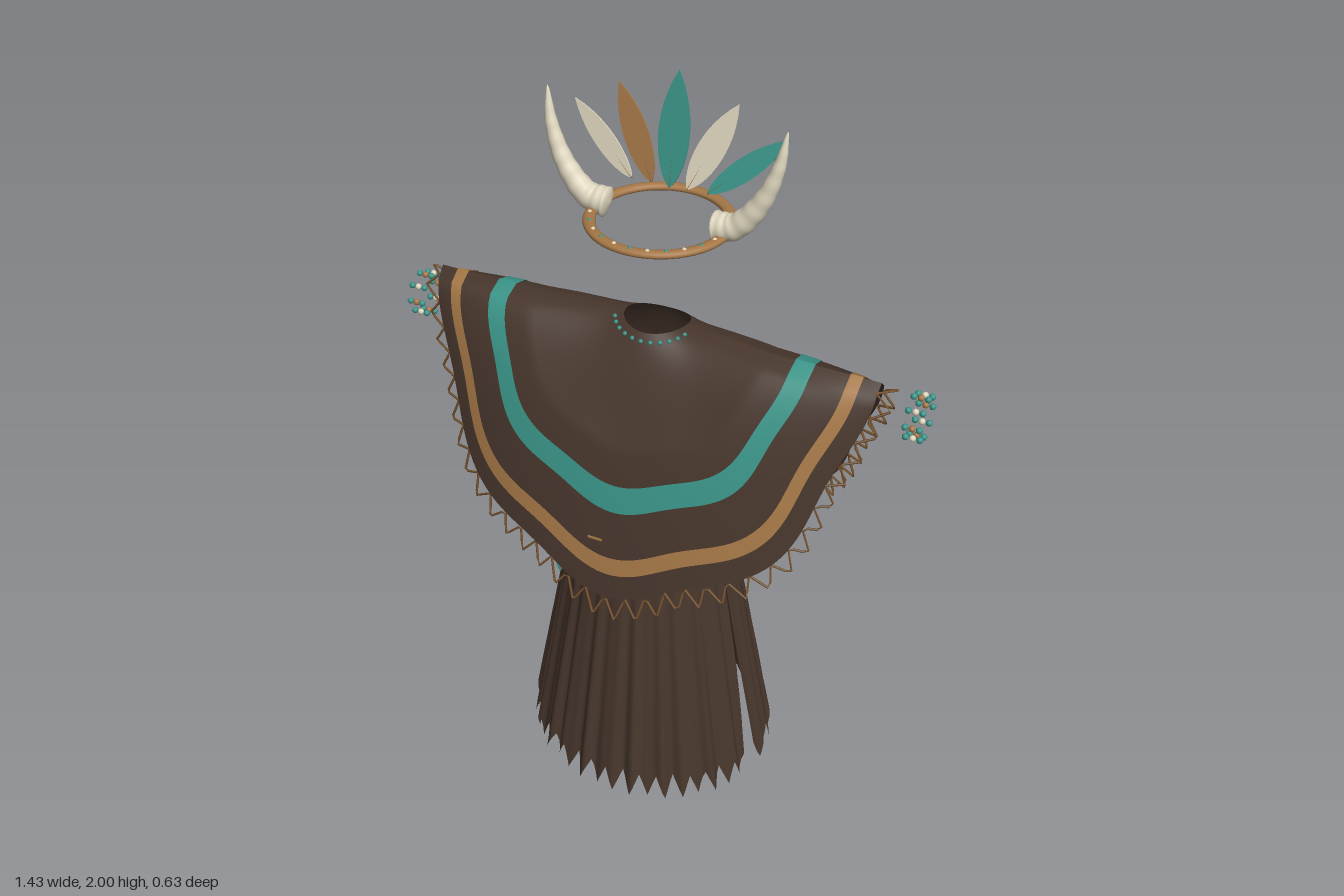
import * as THREE from 'three';

const flat = (name, color, side = THREE.FrontSide) =>
  Object.assign(new THREE.MeshStandardMaterial({ color, side }), { name });
const hide = flat('dark hide', 0x47362c, THREE.DoubleSide);
const teal = flat('teal', 0x3a9488, THREE.DoubleSide);
const tan = flat('tan', 0xa67847, THREE.DoubleSide);
const cord = flat('brown cord', 0x805a34);
const cream = flat('bone cream', 0xddd5bd, THREE.DoubleSide);

const V = (x, y, z) => new THREE.Vector3(x, y, z);

function add(parent, name, geo, mat, pos) {
  const m = new THREE.Mesh(geo, mat);
  m.name = name;
  if (pos) m.position.copy(pos);
  parent.add(m);
  return m;
}

// Surface from a point rule f(u, v), both running 0..1
function sheet(f, nu, nv) {
  const pos = [], idx = [];
  for (let j = 0; j <= nv; j++) {
    for (let i = 0; i <= nu; i++) pos.push(...f(i / nu, j / nv).toArray());
  }
  for (let j = 0; j < nv; j++) {
    for (let i = 0; i < nu; i++) {
      const a = j * (nu + 1) + i, b = a + nu + 1;
      idx.push(a, a + 1, b, b, a + 1, b + 1);
    }
  }
  const g = new THREE.BufferGeometry();
  g.setAttribute('position', new THREE.Float32BufferAttribute(pos, 3));
  g.setIndex(idx);
  g.computeVertexNormals();
  return g;
}

// Thin cord through points with sharp corners
function wire(points, r, closed = false) {
  const path = new THREE.CurvePath();
  for (let i = 0; i + 1 < points.length; i++) path.add(new THREE.LineCurve3(points[i], points[i + 1]));
  if (closed) path.add(new THREE.LineCurve3(points[points.length - 1], points[0]));
  return new THREE.TubeGeometry(path, points.length * 4, r, 4, false);
}

// Draped cloth: a is the angle round the neck, t runs from neck (0.14) to hem (1),
// lift raises the point off the outer face
function drape(a, t, lift = 0) {
  const c = Math.cos(a), sn = Math.sin(a), s = Math.abs(sn), u = Math.max(0, (t - 0.14) / 0.86);
  const rip = 1 - 0.028 * Math.min(1, u * 1.3) * (1 - Math.cos(8 * a));
  const x = 0.6 * t * rip * c;
  const drop = 0.68 * rip * Math.pow(u, 1.15) * s;
  const fade = Math.max(0, 1 - u / 0.45);
  const fall = 0.345 * Math.pow(drop, 0.42) * (1 - 0.95 * x * x - 2 * x ** 4);
  const z = Math.sign(sn) * Math.hypot(fall, 0.085 * s * fade) - 0.035 * fade;
  const y = 1.398 - 0.025 * x - drop - 2 * z * z * fade;
  return V(x + lift * 0.4 * c, y + lift * 0.5, z + lift * sn);
}

function poncho() {
  const g = new THREE.Group();
  g.name = 'poncho';
  const band = (t0, t1, lift) => (u, v) => drape(u * Math.PI * 2, t0 + (t1 - t0) * v, lift);
  add(g, 'cloth', sheet(band(0.14, 1, 0), 160, 43), hide);
  // stripes lie on the outer face only
  add(g, 'tealStripe', sheet(band(0.635, 0.72, 0.005), 160, 5), teal);
  add(g, 'tanStripe', sheet(band(0.868, 0.922, 0.005), 160, 3), tan);
  // zigzag fringe
  const zig = [];
  for (let i = 0; i < 130; i++) zig.push(drape((i + 0.5) / 130 * Math.PI * 2, i % 2 ? 1.07 : 0.995));
  add(g, 'fringe', wire(zig, 0.0032, true), cord);
  // beads along the front of the neckline
  const bead = new THREE.SphereGeometry(0.006, 8, 6);
  for (let i = 0; i < 11; i++) {
    const a = 0.35 + i / 10 * (Math.PI - 0.7);
    add(g, 'collarBead', bead, teal, drape(a, 0.17));
  }
  add(g, 'breastPin', new THREE.BoxGeometry(0.04, 0.005, 0.006), tan, V(-0.04, 0.88, 0.262));
  return g;
}

function skirt() {
  const g = new THREE.Group();
  g.name = 'skirt';
  const teeth = 42, slit = 0.2, rows = 24;
  // pleated cone, open at the side slit, with a toothed hem
  const cone = (u, v) => {
    const gap = 0.085 * Math.max(0, v - 0.3) / 0.7;
    const a = slit + gap + u * (Math.PI * 2 - 2 * gap);
    const saw = Math.abs(((u * teeth) % 1) * 2 - 1);
    const y = v === 1 ? 0.07 * saw : 0.985 - 0.9 * v;
    const k = (0.97 - y) / 0.97;
    const pleat = 0.007 * v * (Math.cos(28 * a) + 0.6 * Math.cos(45 * a + 1));
    return V((0.185 + 0.172 * k + pleat) * Math.cos(a), y, (0.16 + 0.145 * k + pleat) * Math.sin(a));
  };
  add(g, 'pleatedCloth', sheet(cone, teeth * 6, rows), hide);
  const belt = add(g, 'belt', new THREE.CylinderGeometry(0.17, 0.176, 0.06, 48, 1, true), hide, V(0, 0.96, 0));
  belt.scale.x = 1.15;
  return g;
}

// Flat leaf-shaped feather from base to tip, with a quill
function feather(parent, base, tip, width, mat) {
  const g = new THREE.Group(), dir = tip.clone().sub(base), L = dir.length(), w = width / 2;
  g.name = 'feather';
  const leaf = new THREE.Shape();
  leaf.moveTo(0, 0);
  leaf.bezierCurveTo(w * 0.8, L * 0.08, w * 1.8, L * 0.55, 0, L);
  leaf.bezierCurveTo(-w * 1.8, L * 0.55, -w * 0.8, L * 0.08, 0, 0);
  add(g, 'vane', new THREE.ExtrudeGeometry(leaf, { depth: 0.004, bevelEnabled: false, curveSegments: 14 }), mat, V(0, 0, -0.002));
  add(g, 'quill', new THREE.CylinderGeometry(0.001, 0.0025, L * 0.95, 5), cord, V(0, L * 0.475, 0));
  g.position.copy(base);
  g.quaternion.setFromUnitVectors(V(0, 1, 0), dir.normalize());
  parent.add(g);
}

// Ridged horn swept along a curve, radius tapering to the tip
function horn(side) {
  const path = new THREE.CatmullRomCurve3([
    V(0.135, 1.672, -0.05), V(0.195, 1.685, -0.048), V(0.255, 1.755, -0.05),
    V(0.293, 1.85, -0.058), V(0.307, 1.94, -0.07)]);
  return sheet((u, v) => {
    const p = path.getPoint(v), d = path.getTangent(v);
    const n = V(-d.y, d.x, 0).normalize(), b = d.clone().cross(n);
    const cap = v < 0.04 ? Math.sqrt(v / 0.04) : 1;
    const r = 0.039 * cap * Math.pow(1 - v, 0.68) * (1 + 0.025 * Math.sin(v * 60)) + 0.0005;
    const a = u * Math.PI * 2;
    p.addScaledVector(n, r * Math.cos(a)).addScaledVector(b, r * Math.sin(a));
    p.x *= side;
    return p;
  }, 20, 72);
}

function headdress() {
  const g = new THREE.Group();
  g.name = 'headdress';
  const centre = V(0, 1.66, -0.048), R = 0.172;
  const band = add(g, 'headband', new THREE.TorusGeometry(R, 0.016, 10, 64), tan, centre);
  band.rotation.x = Math.PI / 2;
  band.scale.z = 0.6;
  const bead = new THREE.SphereGeometry(0.006, 8, 6);
  for (let i = 0; i < 11; i++) {
    const a = 0.3 + i / 10 * (Math.PI - 0.6);
    add(g, 'bandBead', bead, i % 2 ? teal : cream, V(R * Math.cos(a), 0.007, R * Math.sin(a)).add(centre));
  }
  for (const s of [1, -1]) add(g, s > 0 ? 'leftHorn' : 'rightHorn', horn(s), cream);
  // fan of five feathers
  feather(g, V(0, 1.72, -0.1), V(0, 2, -0.155), 0.08, teal);
  feather(g, V(-0.047, 1.725, -0.1), V(-0.155, 1.945, -0.15), 0.068, tan);
  feather(g, V(0.047, 1.725, -0.1), V(0.155, 1.945, -0.15), 0.068, cream);
  feather(g, V(-0.1, 1.725, -0.1), V(-0.28, 1.875, -0.16), 0.055, cream);
  feather(g, V(0.1, 1.725, -0.1), V(0.28, 1.875, -0.16), 0.055, teal);
  return g;
}

function bracelet(side) {
  const g = new THREE.Group(), bead = new THREE.SphereGeometry(0.0085, 10, 8);
  g.name = side > 0 ? 'leftBracelet' : 'rightBracelet';
  for (let c = 0; c < 3; c++) {
    for (let i = 0; i < 8; i++) {
      const a = i * Math.PI / 4;
      const mat = c === 1 ? (i % 2 ? cream : tan) : teal;
      add(g, 'bead', bead, mat, V(side * (0.67 + c * 0.018), 1.282 + 0.055 * Math.sin(a), -0.045 + 0.055 * Math.cos(a)));
    }
  }
  return g;
}

function beltOrnaments() {
  const g = new THREE.Group();
  g.name = 'beltOrnaments';
  // hanging gourd
  const profile = [[0, -0.06], [0.02, -0.053], [0.036, -0.025], [0.037, 0.005], [0.027, 0.03], [0.016, 0.045], [0.013, 0.055]];
  const curve = new THREE.SplineCurve(profile.map(([x, y]) => new THREE.Vector2(x, y)));
  add(g, 'gourd', new THREE.LatheGeometry(curve.getPoints(24), 24), tan, V(0.19, 0.85, 0.147));
  add(g, 'gourdStopper', new THREE.CylinderGeometry(0.02, 0.024, 0.03, 16), hide, V(0.19, 0.9, 0.147));
  add(g, 'gourdStrap', wire([V(0.19, 0.91, 0.147), V(0.175, 0.95, 0.155), V(0.14, 0.99, 0.14)], 0.006), hide);
  // hanging feathers
  feather(g, V(-0.2, 0.635, 0.165), V(-0.19, 0.84, 0.155), 0.042, teal);
  feather(g, V(-0.226, 0.66, 0.145), V(-0.2, 0.84, 0.14), 0.032, tan);
  feather(g, V(-0.216, 0.69, 0.157), V(-0.2, 0.84, 0.148), 0.028, cream);
  add(g, 'featherCord', wire([V(-0.15, 0.97, 0.125), V(-0.195, 0.84, 0.147)], 0.004), cord);
  return g;
}

export function createModel() {
  const model = new THREE.Group();
  model.name = 'ceremonialOutfit';
  model.add(poncho(), skirt(), headdress(), beltOrnaments(), bracelet(1), bracelet(-1));
  return model;
}
